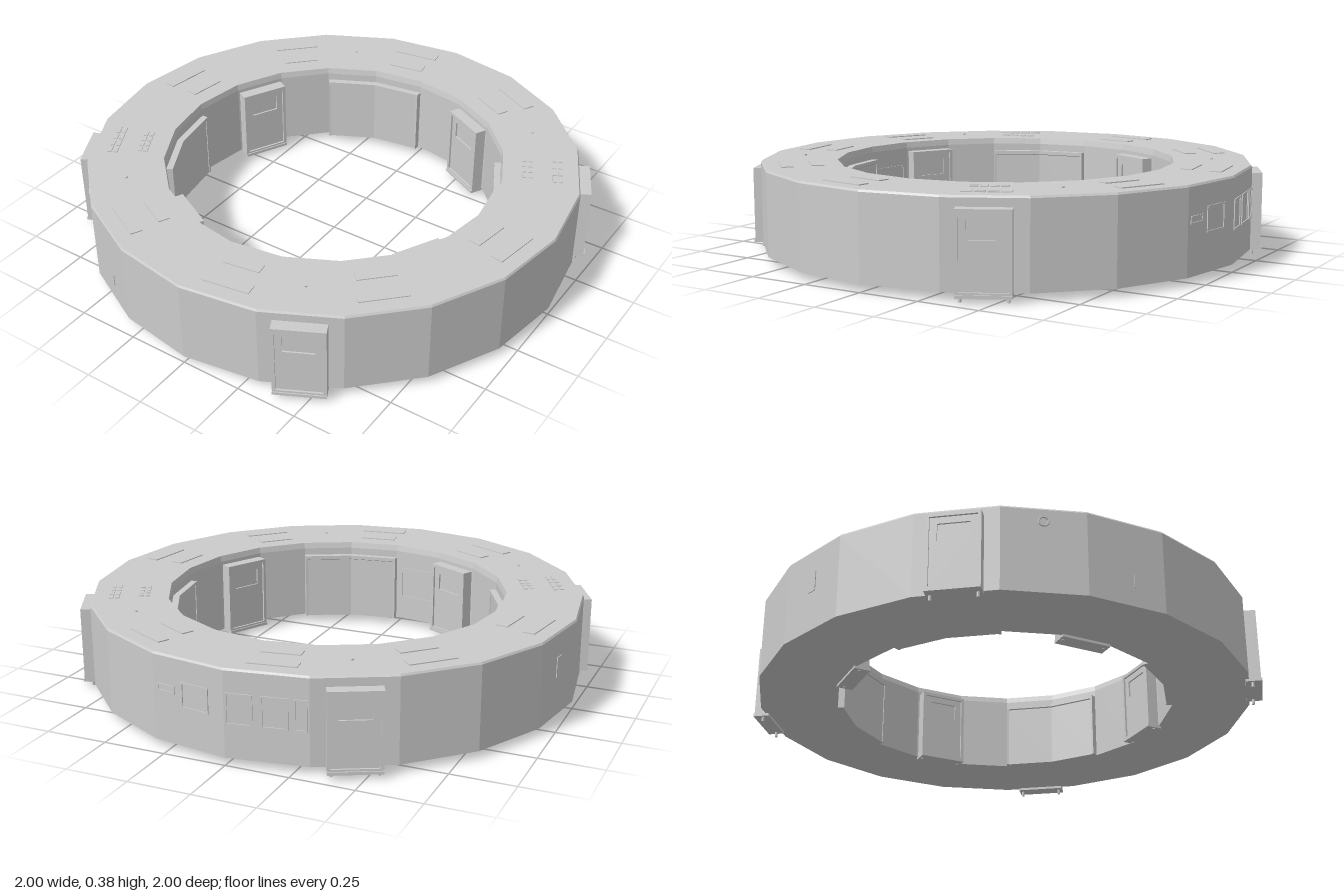
import * as THREE from 'three';

const mat = new THREE.MeshStandardMaterial({ color: 0xcccccc, flatShading: true });
const rad = THREE.MathUtils.degToRad;

const APO = Math.cos(Math.PI / 20);       // flat-face distance of a 20-gon
const OUT = APO, INN = 0.685 * APO;       // outer and inner wall face distances
const BASE = 0.03, TOP = 0.37;

function mesh(geo, name, x = 0, y = 0, z = 0) {
  const m = new THREE.Mesh(geo, mat);
  m.name = name;
  m.position.set(x, y, z);
  return m;
}
const box = (name, w, h, d, x, y, z) => mesh(new THREE.BoxGeometry(w, h, d), name, x, y, z);

// Puts a part at an angle round the ring (0 = front), facing outwards or inwards
function place(parent, part, angle, radius, inward = false) {
  const pivot = new THREE.Group();
  pivot.name = part.name + 'Mount';
  pivot.rotation.y = rad(angle);
  const seat = new THREE.Group();
  seat.position.z = radius;
  if (inward) seat.rotation.y = Math.PI;
  seat.add(part);
  pivot.add(seat);
  parent.add(pivot);
}

function rect(P, x0, y0, x1, y1) {
  const p = new P();
  p.moveTo(x0, y0); p.lineTo(x1, y0); p.lineTo(x1, y1); p.lineTo(x0, y1); p.closePath();
  return p;
}

// Flat plate with a rectangular opening
function frame(name, outer, inner, depth, z) {
  const s = rect(THREE.Shape, ...outer);
  s.holes.push(rect(THREE.Path, ...inner));
  return mesh(new THREE.ExtrudeGeometry(s, { depth, bevelEnabled: false }), name, 0, 0, z);
}

// Door with surround, leaf, window, sill and feet; its back lies on the wall
function door(name, footDrop) {
  const g = new THREE.Group();
  g.name = name;
  g.add(frame('doorSurround', [-0.1, 0.025, 0.1, 0.33], [-0.087, 0.04, 0.087, 0.316], 0.06, -0.012));
  g.add(frame('doorLeaf', [-0.087, 0.04, 0.087, 0.316], [-0.06, 0.22, 0.06, 0.29], 0.045, -0.005));
  g.add(box('doorWindow', 0.12, 0.07, 0.03, 0, 0.255, 0.018));
  g.add(box('doorSill', 0.2, 0.012, 0.065, 0, 0.026, 0.02));
  for (const s of [-1, 1]) {
    g.add(mesh(new THREE.CylinderGeometry(0.006, 0.006, footDrop, 8), 'doorFoot', s * 0.085, 0.025 - footDrop / 2, 0.015));
  }
  return g;
}

// Wide gate that follows two inner wall faces
function gate(angle) {
  const g = new THREE.Group();
  g.name = 'wideGate';
  const profile = [[0.685, 0.315], [0.658, 0.315], [0.658, 0.3], [0.663, 0.297], [0.663, BASE], [0.685, BASE]]
    .map(([r, y]) => new THREE.Vector2(r, y));
  g.add(mesh(new THREE.LatheGeometry(profile, 2, rad(angle), rad(36)), 'gatePanel'));
  // End posts close the two sides
  for (const [a, shift] of [[angle, 0.005], [angle + 36, -0.005]]) {
    place(g, box('gatePost', 0.01, 0.285, 0.026, shift, 0.1725, 0), a, 0.671);
  }
  return g;
}

// Pair of raised roof vents; some are split into small cells
function roofVents(split) {
  const g = new THREE.Group();
  g.name = 'roofVents';
  for (const [z, w] of [[0.06, 0.19], [-0.06, 0.15]]) {
    const cols = split ? 4 : 1, rows = split ? 2 : 1;
    const cw = w / cols, cd = 0.048 / rows, gap = split ? 0.008 : 0;
    for (let i = 0; i < cols; i++) for (let j = 0; j < rows; j++) {
      g.add(box('vent', cw - gap, 0.006, cd - gap,
        (i - (cols - 1) / 2) * cw, TOP + 0.001, z + (j - (rows - 1) / 2) * cd));
    }
  }
  return g;
}

export function createModel() {
  const model = new THREE.Group();
  model.name = 'ringBuilding';

  // Main ring with a slightly chamfered top edge
  const ring = [[0.685, BASE], [1, BASE], [1, 0.362], [0.995, TOP], [0.69, TOP], [0.685, 0.345], [0.685, BASE]]
    .map(([r, y]) => new THREE.Vector2(r, y));
  model.add(mesh(new THREE.LatheGeometry(ring, 20), 'ringBody'));

  // Doors and gates repeat every quarter turn
  for (let k = 0; k < 4; k++) {
    const q = k * 90;
    place(model, door('outerDoor', 0.025), 27 + q, OUT);
    place(model, door('innerDoor', 0.008), 63 + q, INN, true);
    model.add(gate(q));
  }

  // Roof vents on every second segment
  for (let k = 0; k < 10; k++) {
    place(model, roofVents(k % 5 === 3), 9 + 36 * k, 0.84);
  }
  // Small roof caps
  for (const a of [27, 135, 207, 315]) {
    place(model, mesh(new THREE.CylinderGeometry(0.006, 0.006, 0.008, 8), 'roofCap', 0, TOP + 0.002, 0), a, 0.84);
  }

  // Wall boards on the back: angle, sideways shift, height, width, tall
  for (const [a, x, y, w, h] of [
    [171, -0.1, 0.24, 0.08, 0.03], [171, 0.03, 0.23, 0.12, 0.1],
    [189, -0.1, 0.22, 0.1, 0.12], [189, 0.03, 0.22, 0.1, 0.12], [207 - 9 - 9, 0.125, 0.22, 0.05, 0.12]]) {
    place(model, frame('wallBoardRim', [x - w / 2, y - h / 2, x + w / 2, y + h / 2],
      [x - w / 2 + 0.006, y - h / 2 + 0.006, x + w / 2 - 0.006, y + h / 2 - 0.006], 0.006, -0.002), a, OUT);
  }

  // Small fittings on the outer wall
  place(model, box('wallBox', 0.04, 0.08, 0.006, 0, 0.23, 0), -99, OUT);
  place(model, box('wallSlot', 0.006, 0.05, 0.006, 0.03, 0.13, 0), -27, OUT);
  place(model, mesh(new THREE.TorusGeometry(0.018, 0.004, 6, 12), 'wallRing', 0, 0.315, 0), -45, OUT);

  // Board on the inner wall
  place(model, frame('innerBoard', [-0.085, 0.13, 0.085, 0.27], [-0.077, 0.138, 0.077, 0.262], 0.006, -0.002), -9, INN, true);

  return model;
}
